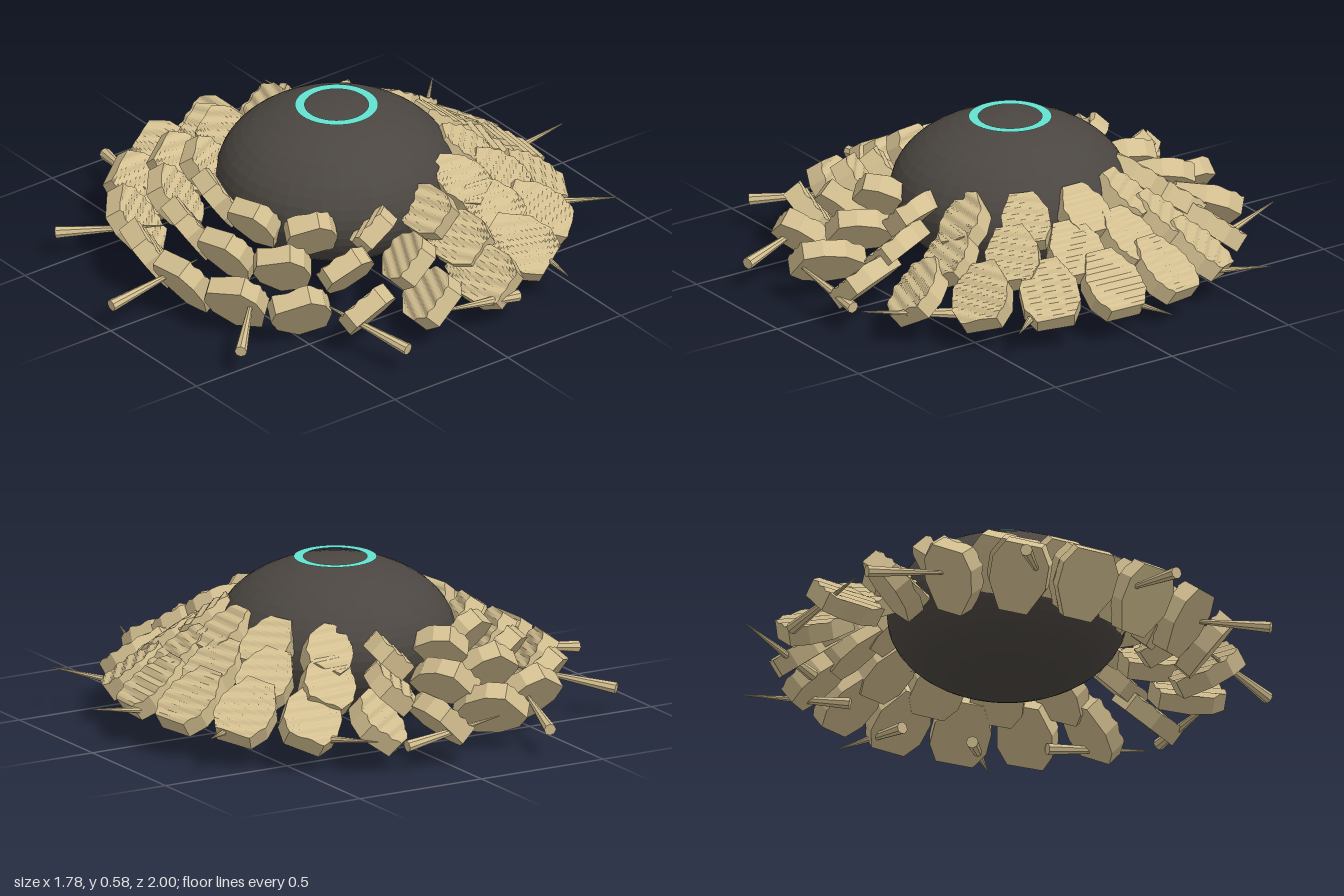
import * as THREE from 'three';

const RAD = Math.PI / 180;

const shellMaterial = new THREE.MeshStandardMaterial({ color: 0x4b4641, flatShading: true });
shellMaterial.name = 'dark shell';
const boneMaterial = new THREE.MeshStandardMaterial({ color: 0xd4c091, flatShading: true });
boneMaterial.name = 'tan bone';
const ringMaterial = new THREE.MeshStandardMaterial({ color: 0x64e2d0, side: THREE.DoubleSide });
ringMaterial.name = 'teal ring';

// Shield-shaped slab, spun flat, with shallow ripples across its upper face
function plateGeometry(width, length, thickness, spin) {
  const geometry = new THREE.BoxGeometry(1, 1, 1, 18, 1, 20);
  const p = geometry.attributes.position;
  for (let i = 0; i < p.count; i++) {
    const t = p.getZ(i) * 2; // -1 at the outer end, 1 at the inner end
    const taper = t < 0 ? 0.35 * Math.max(0, (-t - 0.5) / 0.5) : 0.5 * Math.max(0, (t - 0.2) / 0.8);
    p.setXYZ(i, p.getX(i) * width * (1 - taper), p.getY(i) * thickness, p.getZ(i) * length);
  }
  geometry.rotateY(spin);
  for (let i = 0; i < p.count; i++) {
    if (p.getY(i) > 0) p.setY(i, p.getY(i) + 0.004 * Math.sin(p.getZ(i) * 130));
  }
  geometry.computeVertexNormals();
  return geometry;
}

// Heading of a part at angle a around the body: turns about twice per lap
function heading(a) {
  return Math.PI + 2 * a - 17 * RAD * Math.sin(2 * a);
}

// Places a mesh on a circle, leaning its own y axis towards its heading
function place(mesh, a, radius, y, lean) {
  mesh.position.set(Math.sin(a) * radius, y, Math.cos(a) * radius);
  mesh.rotation.set(lean, heading(a), 0, 'YXZ');
}

export function createModel() {
  const model = new THREE.Group();
  model.name = 'armouredDome';

  // Flattened round body
  const body = new THREE.Mesh(new THREE.SphereGeometry(1, 40, 24), shellMaterial);
  body.name = 'body';
  body.scale.set(0.425, 0.273, 0.425);
  body.position.y = 0.308;
  model.add(body);

  // Flat ring on the crown
  const ring = new THREE.Mesh(new THREE.RingGeometry(0.113, 0.147, 48), ringMaterial);
  ring.name = 'crownRing';
  ring.rotation.x = -Math.PI / 2;
  ring.position.y = 0.58;
  model.add(ring);

  // Three rows of armour plates, inner to outer; steepest and lowest in front
  const rows = [
    { name: 'innerPlates', count: 13, start: 180, radius: 0.45, y: 0.3, width: 0.17, length: 0.21 },
    { name: 'middlePlates', count: 16, start: 11.25, radius: 0.57, y: 0.216, width: 0.19, length: 0.23 },
    { name: 'outerPlates', count: 19, start: 270, radius: 0.71, y: 0.129, width: 0.205, length: 0.25 },
  ];
  for (const row of rows) {
    const group = new THREE.Group();
    group.name = row.name;
    for (let i = 0; i < row.count; i++) {
      const a = (row.start + (360 * i) / row.count) * RAD;
      // The spin keeps the long side of the plate pointing at the body
      const spin = Math.PI + a - heading(a);
      const plate = new THREE.Mesh(plateGeometry(row.width, row.length, 0.068, spin), boneMaterial);
      plate.name = 'plate';
      const front = Math.cos(a);
      place(plate, a, row.radius, row.y + 0.032 * (1 - front), (45 + 10 * front) * RAD);
      group.add(plate);
    }
    model.add(group);
  }

  // Ring of slender spikes
  const spikes = new THREE.Group();
  spikes.name = 'spikes';
  const spikeGeometry = new THREE.CylinderGeometry(0.002, 0.022, 0.385, 8);
  for (let i = 0; i < 12; i++) {
    const spike = new THREE.Mesh(spikeGeometry, boneMaterial);
    spike.name = 'spike';
    place(spike, i * 30 * RAD, 0.808, 0.134, Math.PI / 2 - 0.15);
    spikes.add(spike);
  }
  model.add(spikes);

  return model;
}
